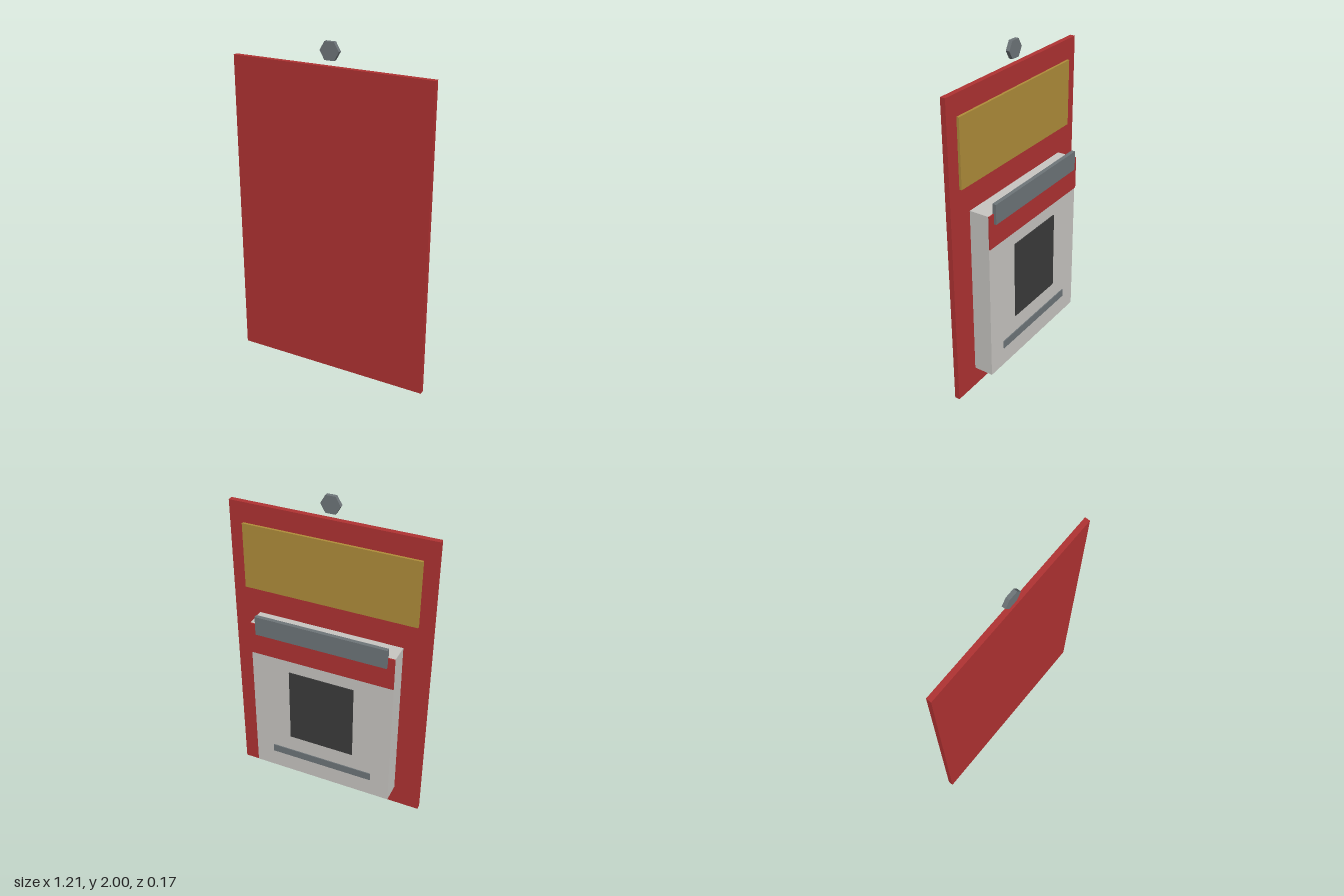
import * as THREE from 'three';

const material = (name, color) => {
  const m = new THREE.MeshStandardMaterial({ color });
  m.name = name;
  return m;
};

export function createModel() {
  const red = material('red', 0xb03232);
  const brass = material('brass', 0xb08d3a);
  const paleGrey = material('pale grey', 0xc8c6c2);
  const steel = material('steel grey', 0x6e7579);
  const charcoal = material('charcoal', 0x3b3b3b);

  const model = new THREE.Group();
  model.name = 'wallPanel';

  // Box given by its half width and its y and z limits, centred on x
  const slab = (name, mat, halfWidth, y0, y1, z0, z1) => {
    const mesh = new THREE.Mesh(new THREE.BoxGeometry(halfWidth * 2, y1 - y0, z1 - z0), mat);
    mesh.position.set(0, (y0 + y1) / 2, (z0 + z1) / 2);
    mesh.name = name;
    model.add(mesh);
  };

  // Main board and the plaque on its back
  slab('board', red, 0.607, 0, 1.867, 0.056, 0.087);
  slab('plaque', brass, 0.526, 1.342, 1.745, 0.041, 0.056);

  // Housing with its thin face plates
  slab('housing', paleGrey, 0.446, 0.126, 1.181, -0.065, 0.056);
  slab('headerBand', red, 0.446, 0.978, 1.181, -0.072, -0.065);
  slab('screen', charcoal, 0.205, 0.405, 0.895, -0.071, -0.065);
  slab('slot', steel, 0.327, 0.245, 0.295, -0.071, -0.065);
  slab('topBar', steel, 0.405, 1.12, 1.24, -0.087, -0.063);

  // Hexagonal bolt above the board, with corners pointing sideways
  const hex = new THREE.CylinderGeometry(0.058, 0.058, 0.023, 6).toNonIndexed();
  hex.rotateY(Math.PI / 2).rotateX(Math.PI / 2);
  hex.computeVertexNormals();
  const bolt = new THREE.Mesh(hex, steel);
  bolt.position.set(0, 1.95, 0.071);
  bolt.name = 'hexBolt';
  model.add(bolt);

  return model;
}
